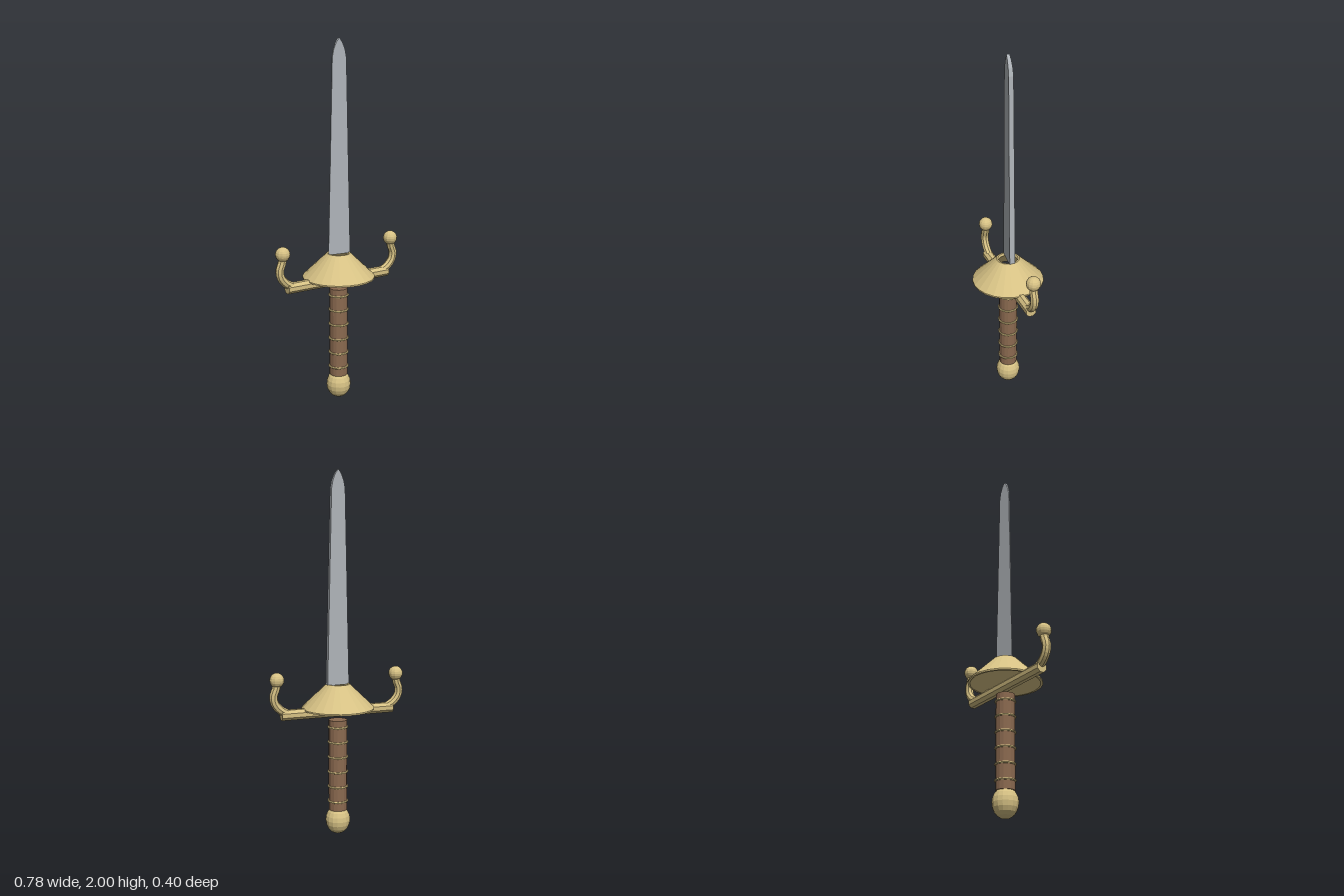
import * as THREE from 'three';

export function createModel() {
  const model = new THREE.Group();
  const material = (name, color) => {
    const m = new THREE.MeshStandardMaterial({ color, flatShading: true });
    m.name = name;
    return m;
  };
  const gold = material('gold', 0xd6c184);
  const leather = material('brown leather', 0x8b6a50);
  const steel = material('steel', 0xb0b5ba);

  const add = (name, geometry, mat, x = 0, y = 0, z = 0) => {
    const mesh = new THREE.Mesh(geometry, mat);
    mesh.name = name;
    mesh.position.set(x, y, z);
    model.add(mesh);
    return mesh;
  };

  // Blade: outline extruded, then wedged from a sharp -x edge to a thick +x spine
  const outline = [[-0.065, 0.845], [0.065, 0.845], [0.04, 1.9], [0.032, 1.94], [0.018, 1.975],
    [0, 2], [-0.018, 1.975], [-0.032, 1.94], [-0.04, 1.9]];
  const bladeGeometry = new THREE.ExtrudeGeometry(
    new THREE.Shape(outline.map(([x, y]) => new THREE.Vector2(x, y))),
    { depth: 1, bevelEnabled: false });
  const p = bladeGeometry.attributes.position;
  for (let i = 0; i < p.count; i++) {
    const half = 0.0005 + 0.12 * (p.getX(i) + 0.065);
    p.setZ(i, p.getZ(i) > 0.5 ? half : -half);
  }
  bladeGeometry.computeVertexNormals();
  add('blade', bladeGeometry, steel);

  // Hand guard: thin hollow cone, open at the top
  const guardProfile = [[0.05, 0.838], [0.188, 0.712], [0.2, 0.712], [0.2, 0.72],
    [0.065, 0.85], [0.056, 0.85], [0.05, 0.838]];
  add('handGuard', new THREE.LatheGeometry(
    guardProfile.map(([r, y]) => new THREE.Vector2(r, y)), 24), gold);

  // Cross bar: octagonal, flat side up
  const bar = new THREE.CylinderGeometry(0.03, 0.03, 0.65, 8);
  bar.rotateY(Math.PI / 8);
  bar.rotateZ(Math.PI / 2);
  add('crossBar', bar, gold, 0, 0.698, 0);

  // Curled arms with ball ends
  for (const side of [1, -1]) {
    const label = side > 0 ? 'left' : 'right';
    const path = new THREE.CatmullRomCurve3(
      [[0.29, 0.705], [0.33, 0.728], [0.36, 0.765], [0.366, 0.805], [0.352, 0.845], [0.347, 0.885]]
        .map(([x, y]) => new THREE.Vector3(side * x, y, 0)));
    add(label + 'Arm', new THREE.TubeGeometry(path, 14, 0.023, 8), gold);
    add(label + 'ArmBall', new THREE.SphereGeometry(0.04, 12, 10), gold, side * 0.347, 0.89, 0);
  }

  // Grip with wire rings
  add('grip', new THREE.CylinderGeometry(0.051, 0.051, 0.51, 16), leather, 0, 0.395, 0);
  for (let i = 0; i < 6; i++) {
    const ring = new THREE.TorusGeometry(0.052, 0.006, 6, 20);
    ring.rotateX(Math.PI / 2);
    add('gripRing' + (i + 1), ring, gold, 0, 0.19 + i * 0.084, 0);
  }

  // Pommel: slightly tall ball
  add('pommel', new THREE.SphereGeometry(0.069, 16, 10), gold, 0, 0.08, 0).scale.y = 1.16;

  return model;
}
